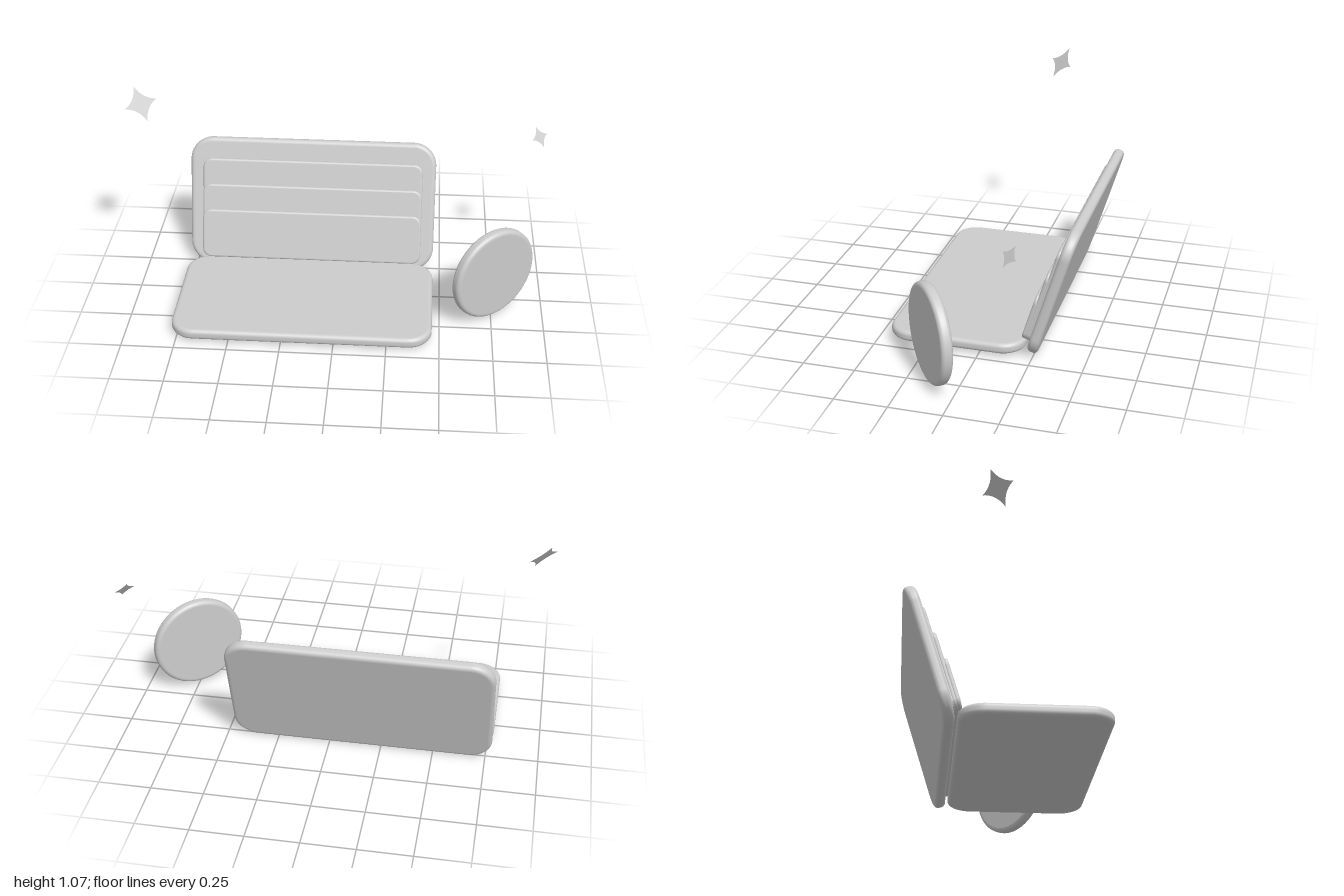
import * as THREE from 'three';
import { mergeVertices } from 'three/addons/utils/BufferGeometryUtils.js';

const grey = new THREE.MeshStandardMaterial({ color: 0xcccccc });
grey.name = 'light grey';
const greySheet = new THREE.MeshStandardMaterial({ color: 0xcccccc, side: THREE.DoubleSide });
greySheet.name = 'light grey sheet';

// Rectangle with rounded corners, centred on the origin
function roundedRect(w, h, r) {
  const x = w / 2, y = h / 2;
  const s = new THREE.Shape();
  s.moveTo(-x + r, -y);
  s.absarc(x - r, -y + r, r, -Math.PI / 2, 0);
  s.absarc(x - r, y - r, r, 0, Math.PI / 2);
  s.absarc(-x + r, y - r, r, Math.PI / 2, Math.PI);
  s.absarc(-x + r, -y + r, r, Math.PI, Math.PI * 1.5);
  return s;
}

// Smooth slab with softened rims, centred in depth
function slab(name, shape, thickness, bevel, segments = 12) {
  let geo = new THREE.ExtrudeGeometry(shape, {
    depth: thickness - 2 * bevel, bevelThickness: bevel, bevelSize: bevel,
    bevelOffset: -bevel, bevelSegments: 6, curveSegments: segments,
  });
  geo.translate(0, 0, bevel - thickness / 2);
  geo.deleteAttribute('uv');
  geo.deleteAttribute('normal');
  geo = mergeVertices(geo, 1e-5);
  geo.computeVertexNormals();
  const mesh = new THREE.Mesh(geo, grey);
  mesh.name = name;
  return mesh;
}

// Flat four-pointed star with hollow sides, facing diagonally (1, 1, 1)
function sparkle(name, radius, x, y, z) {
  const s = new THREE.Shape();
  const c = radius * 0.24;
  s.moveTo(radius, 0);
  s.quadraticCurveTo(c, c, 0, radius);
  s.quadraticCurveTo(-c, c, -radius, 0);
  s.quadraticCurveTo(-c, -c, 0, -radius);
  s.quadraticCurveTo(c, -c, radius, 0);
  const mesh = new THREE.Mesh(new THREE.ShapeGeometry(s, 10), greySheet);
  mesh.name = name;
  mesh.position.set(x, y, z);
  mesh.lookAt(x + 1, y + 1, z + 1);
  return mesh;
}

export function createModel() {
  const model = new THREE.Group();
  model.name = 'open wallet with coin';
  const centreX = -0.158, width = 1.244, length = 0.66, thick = 0.052;

  // Flap lying on the ground
  const base = slab('lower flap', roundedRect(width, length, 0.115), thick, 0.02);
  base.rotation.x = -Math.PI / 2;
  base.position.set(centreX, 0.041, 0.125);
  model.add(base);

  // Leaning flap with its card pockets
  const back = new THREE.Group();
  back.name = 'upright flap';
  back.position.set(centreX, 0.32, -0.333);
  back.rotation.x = THREE.MathUtils.degToRad(-17);
  back.add(slab('flap panel', roundedRect(width, length, 0.115), thick, 0.02));

  // Stepped pockets share a bottom edge, each shorter and further forward
  const bottom = -0.285;
  for (let i = 0; i < 3; i++) {
    const height = 0.51 - i * 0.13;
    const pocket = slab('card pocket ' + (i + 1), roundedRect(1.112, height, 0.045), 0.024, 0.01);
    pocket.position.set(0, bottom + height / 2, 0.031 + i * 0.0135);
    back.add(pocket);
  }
  model.add(back);

  // Coin standing on its rim, turned to the side
  const disc = new THREE.Shape().absarc(0, 0, 0.234, 0, Math.PI * 2);
  const coin = slab('coin', disc, 0.055, 0.02, 64);
  coin.position.set(0.748, 0.249, 0.133);
  coin.rotation.y = 0.655;
  model.add(coin);

  // Floating sparkles
  model.add(sparkle('large sparkle', 0.088, -0.937, 0.998, -0.055));
  model.add(sparkle('small sparkle', 0.054, 0.956, 0.771, -0.282));
  return model;
}
